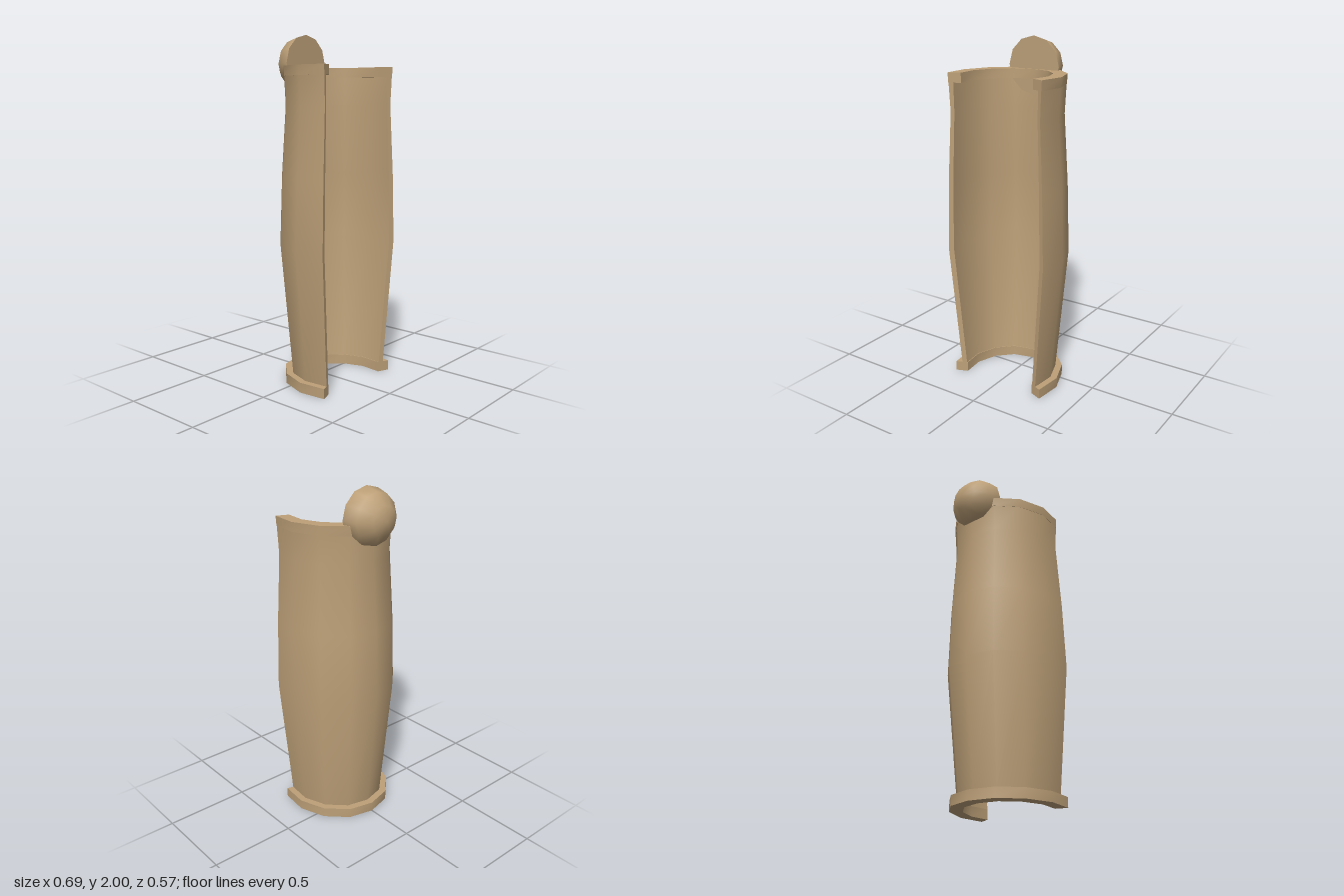
import * as THREE from 'three';
import { toCreasedNormals } from 'three/addons/utils/BufferGeometryUtils.js';

// Open C-shaped footprint at unit half-width: right half, then mirrored
const CENTER_Z = 0.157;
const half = [[0.948, 0.367], [1, -0.152], [0.825, -0.645], [0.467, -0.997]];
const footprint = [...half, [0, -1.115], ...half.map(([x, z]) => [-x, z]).reverse()];

// Sweep a counterclockwise (radius, height) section along the footprint and cap both ends
function sweepSection(section) {
  const n = section.length;
  const positions = [];
  const index = [];
  for (const [x, z] of footprint) {
    for (const [r, y] of section) positions.push(x * r, y, CENTER_Z + z * r);
  }
  for (let i = 0; i < footprint.length - 1; i++) {
    for (let j = 0; j < n; j++) {
      const a = i * n + j;
      const b = i * n + (j + 1) % n;
      index.push(a, a + n, b + n, a, b + n, b);
    }
  }
  const last = (footprint.length - 1) * n;
  const contour = section.map(([r, y]) => new THREE.Vector2(r, y));
  for (const [a, b, c] of THREE.ShapeUtils.triangulateShape(contour, [])) {
    index.push(a, b, c, last + a, last + c, last + b);
  }
  const geometry = new THREE.BufferGeometry();
  geometry.setAttribute('position', new THREE.Float32BufferAttribute(positions, 3));
  geometry.setIndex(index);
  return toCreasedNormals(geometry, 0.7);
}

export function createModel() {
  const group = new THREE.Group();
  const tan = new THREE.MeshStandardMaterial({ color: 0xbda078 });
  tan.name = 'tan';

  const add = (name, geometry, parent = group) => {
    const mesh = new THREE.Mesh(geometry, tan);
    mesh.name = name;
    parent.add(mesh);
    return mesh;
  };

  // Bulging shell: outer wall upward, inner wall back down
  add('shell', sweepSection([
    [0.275, 0.03], [0.279, 0.06], [0.343, 0.8], [0.331, 1.2], [0.308, 1.6], [0.316, 1.77],
    [0.289, 1.77], [0.287, 1.6], [0.304, 1.2], [0.312, 0.8], [0.25, 0.06], [0.247, 0.03],
  ]));

  // Rims at both ends
  const rim = (name, y0, y1, outer0, outer1) => add(name, sweepSection([
    [0.246, y0], [outer0, y0], [outer1, y1], [0.246, y1],
  ]));
  rim('bottomRim', 0, 0.058, 0.317, 0.317);
  rim('topRim', 1.76, 1.815, 0.317, 0.32);

  // Half-ball knob at the upper back, flat side to the front
  const knob = new THREE.Group();
  knob.name = 'knob';
  knob.position.set(0, 1.835, -0.121);
  const dome = new THREE.SphereGeometry(0.165, 12, 3, 0, Math.PI * 2, 0, Math.PI / 2);
  add('knobDome', dome.rotateX(-Math.PI / 2), knob);
  add('knobFace', new THREE.CircleGeometry(0.165, 12), knob);
  group.add(knob);

  return group;
}
